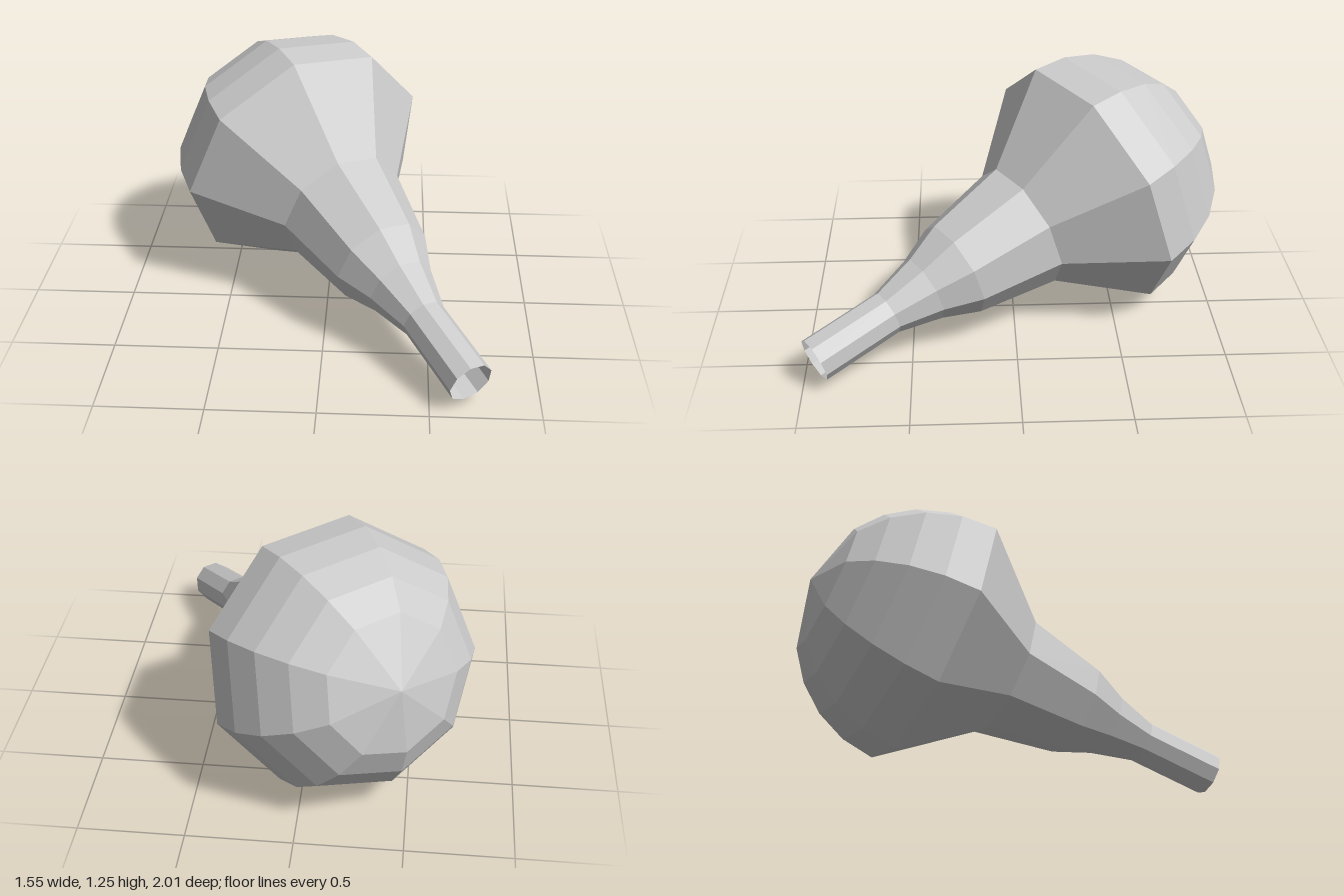
import * as THREE from 'three';

export function createModel() {
  const group = new THREE.Group();
  const material = new THREE.MeshStandardMaterial({
    color: 0xcccccc, flatShading: true, side: THREE.DoubleSide,
  });

  // Profile along the axis: a hemispherical bulb in 15 degree steps, closed by a fan
  const R = 0.65;
  const profile = [new THREE.Vector2(0, -R)];
  for (let deg = 60; deg >= 0; deg -= 15) {
    const t = THREE.MathUtils.degToRad(deg);
    profile.push(new THREE.Vector2(R * Math.cos(t), -R * Math.sin(t)));
  }
  // Shoulder narrowing to a straight, open neck: [radius, distance]
  for (const [r, d] of [[0.32, 0.4], [0.242, 0.805], [0.165, 0.985], [0.108, 1.197], [0.108, 1.603]]) {
    profile.push(new THREE.Vector2(r, d));
  }

  const flask = new THREE.Mesh(new THREE.LatheGeometry(profile, 9), material);
  flask.name = 'bulbWithNeck';

  // Lay the axis down so the neck points forward, left and slightly down
  const axis = new THREE.Vector3(0.505, -0.296, 0.811).normalize();
  const seam = new THREE.Vector3(-0.06, 0.925, 0.37);
  const side = new THREE.Vector3().crossVectors(axis, seam).normalize();
  seam.crossVectors(side, axis);
  flask.quaternion.setFromRotationMatrix(new THREE.Matrix4().makeBasis(side, axis, seam));
  flask.position.set(-0.131, 0.619, -0.36);
  group.add(flask);
  return group;
}
